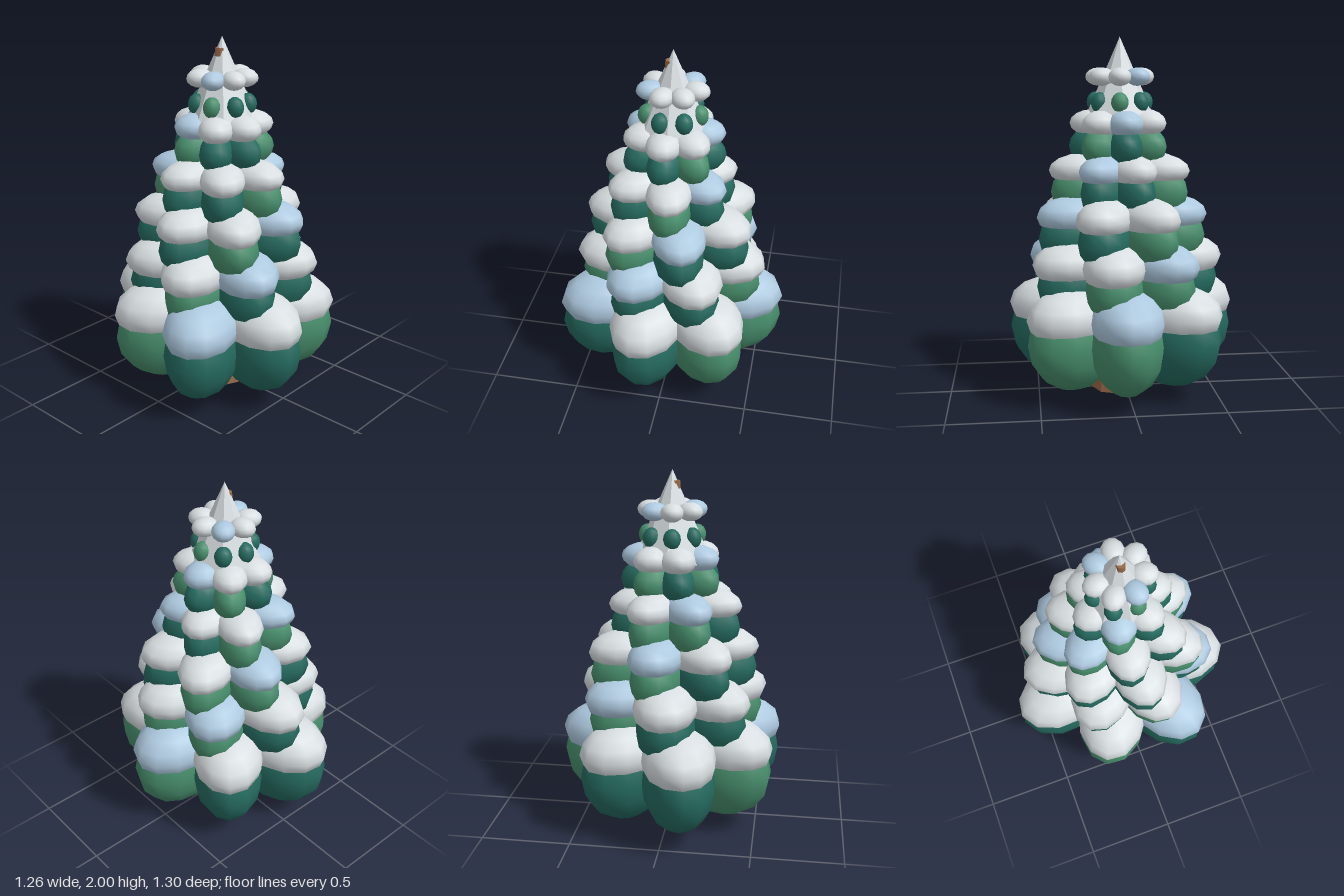
import * as THREE from 'three';

const material = (name, color, extra = {}) => {
  const m = new THREE.MeshStandardMaterial({ color, ...extra });
  m.name = name;
  return m;
};

// y, half height, outer reach, radial and sideways half sizes of each lobe;
// light and blue list the lobes with the lighter green and the icy cap,
// push moves single lobes in or out
const TIERS = [
  { leaf: [0.345, 0.275, 0.64, 0.3, 0.205], snow: [0.485, 0.17, 0.645, 0.3, 0.208], light: [0, 3, 6], blue: [0, 4], push: { 2: 0.045, 4: 0.03 } },
  { leaf: [0.64, 0.2, 0.525, 0.25, 0.165], snow: [0.763, 0.132, 0.55, 0.26, 0.18], light: [0, 1, 4], blue: [1, 5], push: { 2: 0.04 } },
  { leaf: [0.9, 0.17, 0.48, 0.23, 0.145], snow: [1.022, 0.112, 0.49, 0.23, 0.155], light: [1, 2, 5], blue: [2, 6], push: {} },
  { leaf: [1.15, 0.15, 0.39, 0.18, 0.12], snow: [1.27, 0.092, 0.4, 0.19, 0.128], light: [2, 3, 6], blue: [0, 3], push: { 0: -0.04, 1: -0.045 } },
  { leaf: [1.4, 0.11, 0.285, 0.14, 0.095], snow: [1.528, 0.075, 0.28, 0.13, 0.1], light: [0, 2, 4], blue: [1, 4], push: {} },
  { leaf: [1.642, 0.058, 0.19, 0.05, 0.048], snow: [1.782, 0.05, 0.197, 0.075, 0.063], light: [1, 5], blue: [2, 5], push: {} },
];
const LOBES = 7;
const TWIST = 0.2;

export function createModel() {
  const tree = new THREE.Group();
  tree.name = 'snowyTree';

  const darkGreen = material('dark green', 0x256b60);
  const lightGreen = material('light green', 0x488f6d);
  const snowWhite = material('snow white', 0xd8dee1);
  const iceBlue = material('ice blue', 0xaecae0);
  const bark = material('bark brown', 0x976848, { flatShading: true });
  const tipSnow = material('snow tip', 0xd8dee1, { flatShading: true });

  const ball = new THREE.SphereGeometry(1, 12, 8);

  // Squashed ball whose outer end reaches the given distance from the axis
  const lobe = (name, [y, halfHeight, reach, radial, side], mat, push) => {
    const mesh = new THREE.Mesh(ball, mat);
    mesh.name = name;
    mesh.position.set(reach - radial + push, y, 0);
    mesh.scale.set(radial, halfHeight, side);
    return mesh;
  };

  // Everything stands around one axis, slightly forward of the origin
  const crown = new THREE.Group();
  crown.name = 'crown';
  crown.position.z = 0.03;
  tree.add(crown);

  // Rings of branches, each twisted a little from the one below
  const step = (Math.PI * 2) / LOBES;
  TIERS.forEach((tier, t) => {
    for (let k = 0; k < LOBES; k++) {
      const branch = new THREE.Group();
      branch.name = `branchTier${t + 1}Lobe${k + 1}`;
      branch.rotation.y = step * k - TWIST * t;
      const push = tier.push[k] || 0;
      branch.add(
        lobe('foliage', tier.leaf, tier.light.includes(k) ? lightGreen : darkGreen, push),
        lobe('snowCap', tier.snow, tier.blue.includes(k) ? iceBlue : snowWhite, push),
      );
      crown.add(branch);
    }
  });

  // Faceted snowy tip
  const tip = new THREE.Mesh(new THREE.ConeGeometry(0.215, 0.49, 8), tipSnow);
  tip.name = 'snowyTip';
  tip.position.y = 1.755;
  crown.add(tip);

  // Tapered trunk running up through the tree, just showing beside the tip
  const trunk = new THREE.Mesh(new THREE.CylinderGeometry(0.024, 0.17, 1.94, 8), bark);
  trunk.name = 'trunk';
  trunk.position.set(-0.018, 0.97, 0);
  crown.add(trunk);

  return tree;
}
